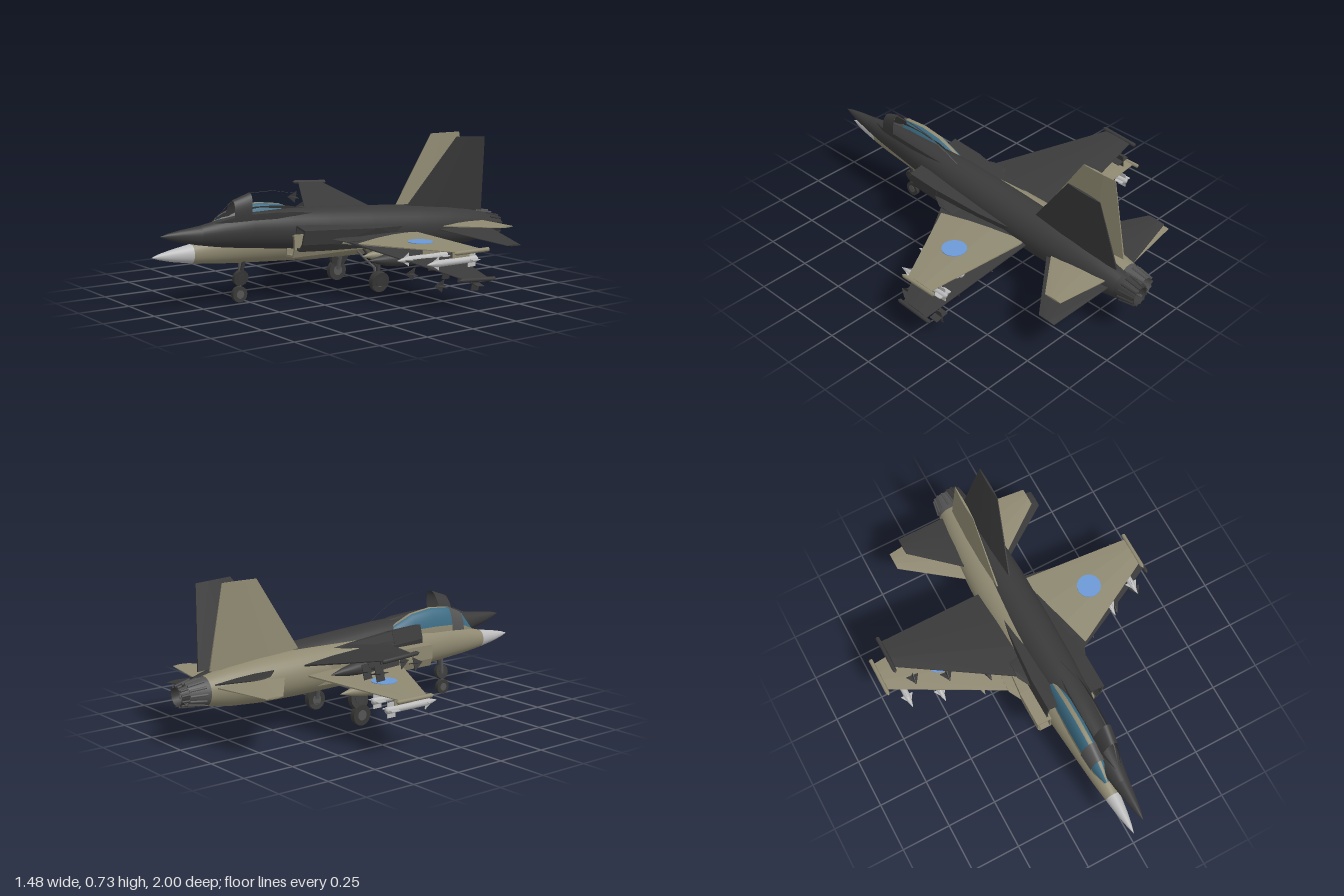
import * as THREE from 'three';
import { ConvexGeometry } from 'three/addons/geometries/ConvexGeometry.js';

const mat = (name, color, side = THREE.FrontSide) => {
  const m = new THREE.MeshStandardMaterial({ color, side });
  m.name = name;
  return m;
};

// Skin through elliptical sections [z, centreY, halfWidth, halfHeight], nose first
function loft(sections, a0 = 0, a1 = Math.PI * 2, n = 32) {
  const closed = a1 - a0 > 6.28, cols = closed ? n : n + 1, pos = [], idx = [];
  for (const [z, y, w, h] of sections) {
    for (let j = 0; j < cols; j++) {
      const a = a0 + (a1 - a0) * j / n;
      pos.push(w * Math.cos(a), y + h * Math.sin(a), z);
    }
  }
  for (let i = 0; i < sections.length - 1; i++) {
    for (let j = 0; j < n; j++) {
      const k = (j + 1) % cols, p = i * cols, q = p + cols;
      idx.push(p + j, q + j, p + k, q + j, q + k, p + k);
    }
  }
  const g = new THREE.BufferGeometry();
  g.setAttribute('position', new THREE.Float32BufferAttribute(pos, 3));
  g.setIndex(idx);
  g.computeVertexNormals();
  return g;
}

const hull = (pts) => new ConvexGeometry(pts.map((p) => new THREE.Vector3(...p)));

// Tapered lens-section surface: root and tip are [x, y, frontZ, backZ, thickness]
function surface(root, tip, upright = false) {
  const pts = [];
  for (const [x, y, f, b, t] of [root, tip]) {
    const ring = [[f, t * 0.15], [f + (b - f) * 0.35, t / 2], [f + (b - f) * 0.65, t / 2], [b, t * 0.15]];
    for (const [z, d] of ring) {
      for (const s of [1, -1]) pts.push(upright ? [x + s * d, y, z] : [x, y + s * d, z]);
    }
  }
  return hull(pts);
}

function rod(a, b, r, n = 10) {
  const p = new THREE.Vector3(...a), q = new THREE.Vector3(...b), d = q.clone().sub(p);
  const g = new THREE.CylinderGeometry(r, r, d.length(), n);
  g.applyQuaternion(new THREE.Quaternion().setFromUnitVectors(new THREE.Vector3(0, 1, 0), d.normalize()));
  return g.translate(...p.add(q).multiplyScalar(0.5).toArray());
}

const box = (w, h, d, x, y, z) => new THREE.BoxGeometry(w, h, d).translate(x, y, z);

// Body of revolution along z, from [z, radius] pairs
const spindle = (profile, x, y, n = 16) => loft(profile.map(([z, r]) => [z, 0, r, r]), 0, Math.PI * 2, n).translate(x, y, 0);

const BODY = [[0.8, 0.26, 0.038, 0.045], [0.7, 0.267, 0.052, 0.064], [0.55, 0.275, 0.067, 0.084],
  [0.35, 0.276, 0.085, 0.097], [0.15, 0.272, 0.1, 0.105], [-0.1, 0.268, 0.106, 0.108],
  [-0.4, 0.264, 0.108, 0.109], [-0.6, 0.26, 0.1, 0.104], [-0.76, 0.257, 0.085, 0.09], [-0.88, 0.255, 0.064, 0.068]];
const RADOME = [[1, 0.261, 0.0005, 0.0005], [0.96, 0.261, 0.012, 0.014], [0.9, 0.26, 0.024, 0.028], [0.8, 0.26, 0.038, 0.045]];
const CANOPY = [[0.74, 0.32, 0.012, 0.005], [0.67, 0.33, 0.036, 0.078], [0.57, 0.34, 0.045, 0.115], [0.45, 0.345, 0.047, 0.12],
  [0.33, 0.35, 0.045, 0.1], [0.23, 0.35, 0.036, 0.06], [0.14, 0.35, 0.015, 0.015]];
const grow = (sections, d) => sections.map(([z, y, w, h]) => [z, y, w + d, h + d]);

function buildJet(m, solid) {
  const jet = new THREE.Group();
  const add = (name, geometry, material) => {
    const mesh = new THREE.Mesh(geometry, material);
    mesh.name = name;
    jet.add(mesh);
  };

  // Fuselage, nose cone and exhaust
  add('fuselage', loft(BODY), m.body);
  add('noseCone', loft(RADOME), m.nose);
  add('nozzle', loft([[-0.86, 0.255, 0.064, 0.068], [-0.9, 0.255, 0.062, 0.062], [-0.98, 0.255, 0.047, 0.047]], 0, Math.PI * 2, 16), m.nozzle);
  add('exhaustWall', loft([[-0.88, 0.255, 0.036, 0.036], [-0.98, 0.255, 0.044, 0.044]], 0, Math.PI * 2, 16), m.frame);
  add('exhaustBack', new THREE.CircleGeometry(0.06, 16).rotateY(Math.PI).translate(0, 0.255, -0.9), m.tyre);
  for (let i = 0; i < 12; i++) {
    const a = i * Math.PI / 6, c = Math.cos(a), s = Math.sin(a);
    add('nozzlePetal', rod([c * 0.062, 0.255 + s * 0.062, -0.9], [c * 0.048, 0.255 + s * 0.048, -0.98], 0.006, 5), m.nozzle);
  }

  // Canopy: glass, centre rail, windscreen bow and sills
  if (solid) add('canopyGlass', loft(CANOPY, 0, Math.PI, 20), m.glass);
  const rail = solid ? 0.22 : 0.06;
  add('canopyRail', loft(grow(CANOPY, 0.002), Math.PI / 2 - rail, Math.PI / 2 + rail, 4), m.frameBody);
  add('windscreenBow', loft([[0.655, 0.332, 0.042, 0.09], [0.57, 0.34, 0.049, 0.119]], 0, Math.PI, 20), m.frame);
  for (const a of [0, Math.PI - 0.25]) add('canopySill', loft(grow(CANOPY, 0.003), a, a + 0.25, 3), m.frameBody);

  // Fin
  add('fin', surface([0, 0.34, -0.34, -0.85, 0.026], [0, 0.73, -0.59, -0.775, 0.01], true), m.body);

  for (const s of [1, -1]) {
    // Wing, root extension, tailplane and tip rail
    add('wing', surface([s * 0.08, 0.265, 0.16, -0.385, 0.026], [s * 0.7, 0.265, -0.18, -0.33, 0.01]), m.body);
    add('wingRootExtension', surface([s * 0.07, 0.275, 0.34, 0, 0.014], [s * 0.19, 0.268, 0.11, 0, 0.012]), m.body);
    add('tailplane', surface([s * 0.06, 0.275, -0.48, -0.85, 0.02], [s * 0.38, 0.285, -0.72, -0.81, 0.008]), m.body);
    add('wingtipRail', spindle([[-0.15, 0.001], [-0.165, 0.01], [-0.355, 0.01], [-0.36, 0.001]], s * 0.71, 0.265, 10), m.body);
    if (solid) add('roundel', new THREE.CylinderGeometry(0.06, 0.06, 0.003, 28).translate(s * 0.42, 0.2755, -0.19), m.roundel);

    // Open intake with fairing behind it
    const outline = [[0.08, 0.21], [0.14, 0.212], [0.155, 0.25], [0.155, 0.32], [0.08, 0.32]];
    const shape = new THREE.Shape(outline.map(([x, y]) => new THREE.Vector2(s * x, y)));
    shape.holes.push(new THREE.Path([[0.089, 0.22], [0.134, 0.222], [0.146, 0.252], [0.146, 0.311], [0.089, 0.311]]
      .map(([x, y]) => new THREE.Vector2(s * x, y))));
    add('intakeLip', new THREE.ExtrudeGeometry(shape, { depth: 0.18, bevelEnabled: false }).translate(0, 0, 0.16), m.body);
    add('intakeFairing', hull([...outline.map(([x, y]) => [s * x, y, 0.18]),
      [s * 0.12, 0.21, -0.1], [s * 0.13, 0.31, -0.1], [s * 0.07, 0.2, -0.45], [s * 0.07, 0.3, -0.45]]), m.body);

    // Drop tank
    add('dropTank', spindle([[0.05, 0.001], [0.01, 0.014], [-0.05, 0.028], [-0.12, 0.033], [-0.2, 0.031], [-0.28, 0.017], [-0.34, 0.001]], s * 0.29, 0.21), m.body);
    add('tankPylon', box(0.01, 0.04, 0.16, s * 0.29, 0.245, -0.14), m.body);

    // Missiles with cross fins
    for (const [x, dz] of [[0.475, 0.05], [0.63, 0]]) {
      const y = 0.21;
      if (solid) {
        add('missile', spindle([[-0.06, 0.001], [-0.09, 0.01], [-0.12, 0.016], [-0.35, 0.016], [-0.355, 0.001]].map(([z, r]) => [z + dz, r]), s * x, y, 12), m.nose);
      }
      add('missilePylon', box(0.007, 0.04, 0.1, s * x, 0.243, -0.26 + dz), m.body);
      const front = hull([[-0.032, 0, -0.13], [0.032, 0, -0.13], [0, 0, -0.08], [-0.032, 0.003, -0.13], [0.032, 0.003, -0.13], [0, 0.003, -0.08]]);
      for (const turn of [0, Math.PI / 2]) {
        add('missileFrontFin', front.clone().rotateZ(turn).translate(s * x, y, dz), m.fin);
        add('missileTailFin', new THREE.BoxGeometry(0.07, 0.004, 0.045).rotateZ(turn).translate(s * x, y, -0.325 + dz), m.fin);
      }
    }

    // Main landing gear
    add('mainStrut', rod([s * 0.12, 0.22, -0.13], [s * 0.163, 0.06, -0.13], 0.011), m.frame);
    add('mainBrace', rod([s * 0.11, 0.2, -0.05], [s * 0.15, 0.11, -0.13], 0.006), m.frame);
    add('mainWheel', new THREE.CylinderGeometry(0.05, 0.05, 0.026, 24).rotateZ(Math.PI / 2).translate(s * 0.177, 0.052, -0.13), m.tyre);
    add('mainHub', new THREE.CylinderGeometry(0.025, 0.025, 0.03, 16).rotateZ(Math.PI / 2).translate(s * 0.177, 0.052, -0.13), m.frame);
  }

  // Nose landing gear
  add('noseStrut', rod([0, 0.22, 0.54], [0, 0.045, 0.548], 0.009), m.frame);
  add('noseWheel', new THREE.CylinderGeometry(0.038, 0.038, 0.02, 24).rotateZ(Math.PI / 2).translate(0, 0.042, 0.548), m.tyre);
  add('noseHub', new THREE.CylinderGeometry(0.02, 0.02, 0.024, 16).rotateZ(Math.PI / 2).translate(0, 0.042, 0.548), m.frame);
  return jet;
}

export function createModel() {
  const both = THREE.DoubleSide;
  const tan = mat('tan paint', 0x8f8971, both), charcoal = mat('charcoal paint', 0x3a3a3a, both);
  const silver = mat('light grey', 0xbcbcbc), grey = mat('metal grey', 0x545454, both), tyre = mat('tyre', 0x383937);
  const glass = mat('blue glass', 0x3c6c84), roundel = mat('roundel blue', 0x6c99d6);

  const model = new THREE.Group();
  model.name = 'jetPair';

  // Level tan jet
  const tanJet = buildJet({ body: tan, nose: silver, nozzle: grey, frame: grey, frameBody: tan, glass, roundel, tyre, fin: silver }, true);
  tanJet.name = 'tanJet';
  tanJet.position.x = -0.018;

  // Charcoal jet, rolled and pitched about its wing centre, with an open canopy frame
  const darkJet = buildJet({ body: charcoal, nose: charcoal, nozzle: charcoal, frame: charcoal, frameBody: charcoal, tyre, fin: charcoal }, false);
  darkJet.position.set(0, -0.265, 0.25);
  const tilt = new THREE.Group();
  tilt.name = 'charcoalJet';
  tilt.position.set(0.035, 0.29, -0.265);
  tilt.rotation.set(-0.06, 0, -0.213);
  tilt.add(darkJet);
  model.add(tanJet, tilt);
  return model;
}
